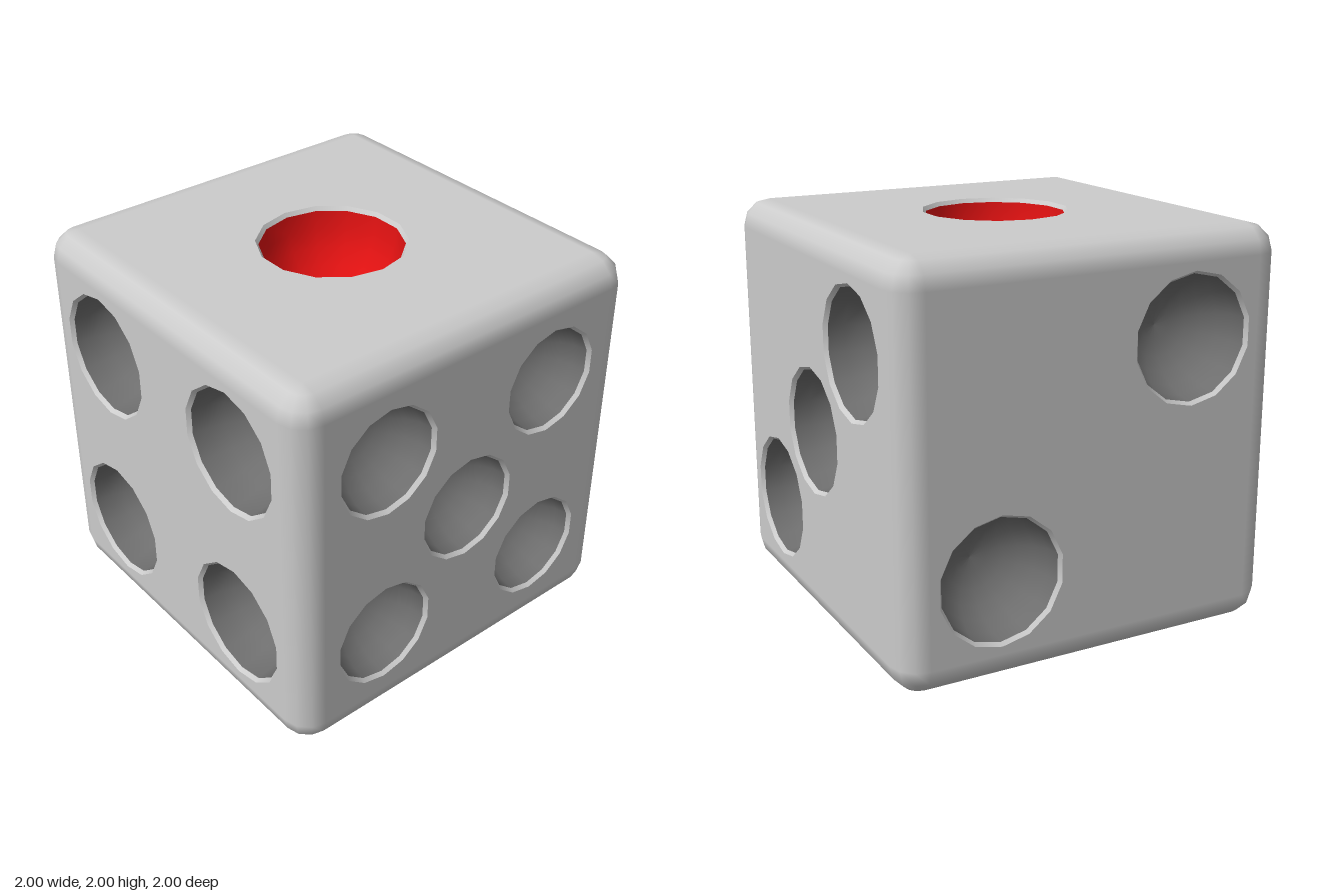
import * as THREE from 'three';
import { mergeGeometries } from 'three/addons/utils/BufferGeometryUtils.js';

const R = 0.14;          // edge rounding
const H = 1 - R;         // half size of the flat part of a face
const SIDES = 14;        // sides of each pip
const RIM = 0.015, RIM_DEPTH = 0.02;
const Q = Math.PI / 2;

// each face: turn of the front face, pip radius, pip centres as seen from outside
const diagonal = [[-0.5, -0.5], [0.5, 0.5]];
const corners = [[-0.5, -0.5], [0.5, 0.5], [-0.5, 0.5], [0.5, -0.5]];
const FACES = [
  { name: 'top', rot: [-Q, 0], r: 0.365, pips: [[0, 0]], color: 0xdd1111 },
  { name: 'back', rot: [0, 2 * Q], r: 0.32, pips: diagonal },
  { name: 'rightView', rot: [0, Q], r: 0.32, pips: [...diagonal, [0, 0]] },
  { name: 'leftView', rot: [0, -Q], r: 0.32, pips: corners },
  { name: 'front', rot: [0, 0], r: 0.28, pips: [...corners, [0, 0]] },
  { name: 'bottom', rot: [Q, 0], r: 0.23, pips: [...corners, [-0.5, 0], [0.5, 0]] },
];
const LABELS = { rightView: 'plusX', leftView: 'minusX' };

// lathe profile opening towards +z, placed on the front face
function dish(profile, [x, y]) {
  const g = new THREE.LatheGeometry(profile.map(p => new THREE.Vector2(...p)), SIDES);
  return g.rotateX(Q).translate(x, y, 1);
}

// flat square with a polygonal hole for every pip
function facePlate({ r, pips }) {
  const shape = new THREE.Shape([[-H, -H], [H, -H], [H, H], [-H, H]].map(p => new THREE.Vector2(...p)));
  for (const [x, y] of pips) {
    const ring = [];
    for (let i = 0; i < SIDES; i++) {
      const a = Q - (i * 2 * Math.PI) / SIDES;
      ring.push(new THREE.Vector2(x + r * Math.cos(a), y + r * Math.sin(a)));
    }
    shape.holes.push(new THREE.Path(ring));
  }
  return new THREE.ShapeGeometry(shape).translate(0, 0, 1);
}

// 12 rounded edges and 8 rounded corners
function roundedFrame() {
  const parts = [];
  for (let k = 0; k < 4; k++) {
    const edge = () => new THREE.CylinderGeometry(R, R, 2 * H, 3, 1, true, 0, Q)
      .translate(H, 0, H).rotateY(k * Q);
    parts.push(edge(), edge().rotateX(Q), edge().rotateZ(Q));
    const corner = () => new THREE.SphereGeometry(R, 3, 3, Q, Q, 0, Q)
      .translate(H, H, H).rotateY(k * Q);
    parts.push(corner(), corner().rotateZ(2 * Q));
  }
  return parts;
}

export function createModel() {
  const die = new THREE.Group();
  die.name = 'die';
  const bodyParts = roundedFrame();

  for (const face of FACES) {
    const { rot, r, pips, color = 0x6e6e6e } = face;
    const inner = r - RIM;
    const turn = g => g.rotateX(rot[0]).rotateY(rot[1]);

    bodyParts.push(turn(facePlate(face)));

    // bevelled rims belong to the body
    for (const p of pips) {
      bodyParts.push(turn(dish([[r, 0], [inner, -RIM_DEPTH]], p)));
    }

    // hemispherical bowls
    const bowl = [];
    for (let i = 0; i <= 6; i++) {
      const a = (i / 6) * Q;
      bowl.push([i === 6 ? 0 : inner * Math.cos(a), -RIM_DEPTH - inner * Math.sin(a)]);
    }
    const mesh = new THREE.Mesh(
      mergeGeometries(pips.map(p => turn(dish(bowl, p)))),
      new THREE.MeshStandardMaterial({ color })
    );
    mesh.name = (LABELS[face.name] ?? face.name) + 'Pips';
    mesh.position.y = 1;
    die.add(mesh);
  }

  const body = new THREE.Mesh(
    mergeGeometries(bodyParts),
    new THREE.MeshStandardMaterial({ color: 0xcccccc })
  );
  body.name = 'body';
  body.position.y = 1;
  die.add(body);
  return die;
}
